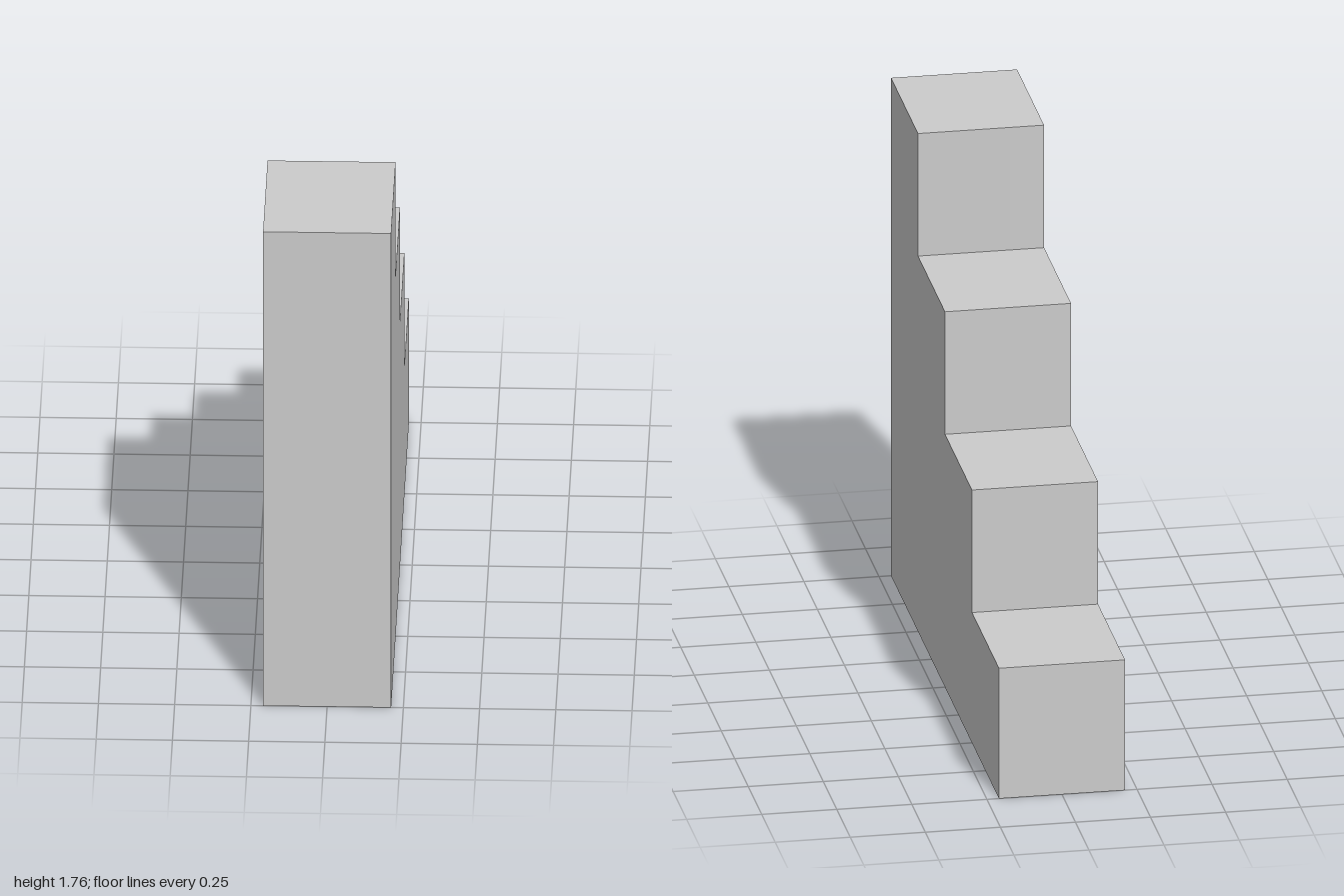
import * as THREE from 'three';

const COLS = 4, COL_W = 0.5, STEP = 0.4325;
const BOARD = 0.0275, SIDE = 0.014;   // shelf and upright thickness
const HALF = 0.21, BACKING = 0.02;    // half depth of the unit, backing sheet

// Stepped outline: u runs along z, tallest column ends at u = 1
function stairShape() {
  const s = new THREE.Shape();
  s.moveTo(1, 0);
  s.lineTo(1, COLS * STEP + BOARD);
  for (let n = COLS; n >= 1; n--) {
    const u = -1 + (n - 1) * COL_W;
    s.lineTo(u, n * STEP + BOARD);
    s.lineTo(u, n > 1 ? (n - 1) * STEP + BOARD : 0);
  }
  s.closePath();
  return s;
}

// One open compartment as a rectangular hole
function cellHole(col, row) {
  const u0 = -1 + col * COL_W + SIDE, u1 = -1 + (col + 1) * COL_W - SIDE;
  const v0 = row * STEP + BOARD, v1 = (row + 1) * STEP;
  const p = new THREE.Path();
  p.moveTo(u0, v0);
  p.lineTo(u1, v0);
  p.lineTo(u1, v1);
  p.lineTo(u0, v1);
  p.closePath();
  return p;
}

// Extrudes a z-y outline across x, from xMax towards -x
function panel(name, shape, xMax, depth, material) {
  const geo = new THREE.ExtrudeGeometry(shape, { depth, bevelEnabled: false });
  geo.rotateY(-Math.PI / 2);
  geo.translate(xMax, 0, 0);
  const mesh = new THREE.Mesh(geo, material);
  mesh.name = name;
  return mesh;
}

export function createModel() {
  const group = new THREE.Group();
  group.name = 'steppedShelf';
  const material = new THREE.MeshStandardMaterial({ color: 0xcccccc });

  // Grid of shelves and uprights, open towards -x
  const frame = stairShape();
  for (let col = 0; col < COLS; col++)
    for (let row = 0; row <= col; row++) frame.holes.push(cellHole(col, row));
  group.add(panel('shelfFrame', frame, HALF - BACKING, 2 * HALF - BACKING, material));

  // Closed sheet on the +x side
  group.add(panel('backPanel', stairShape(), HALF, BACKING, material));
  return group;
}
